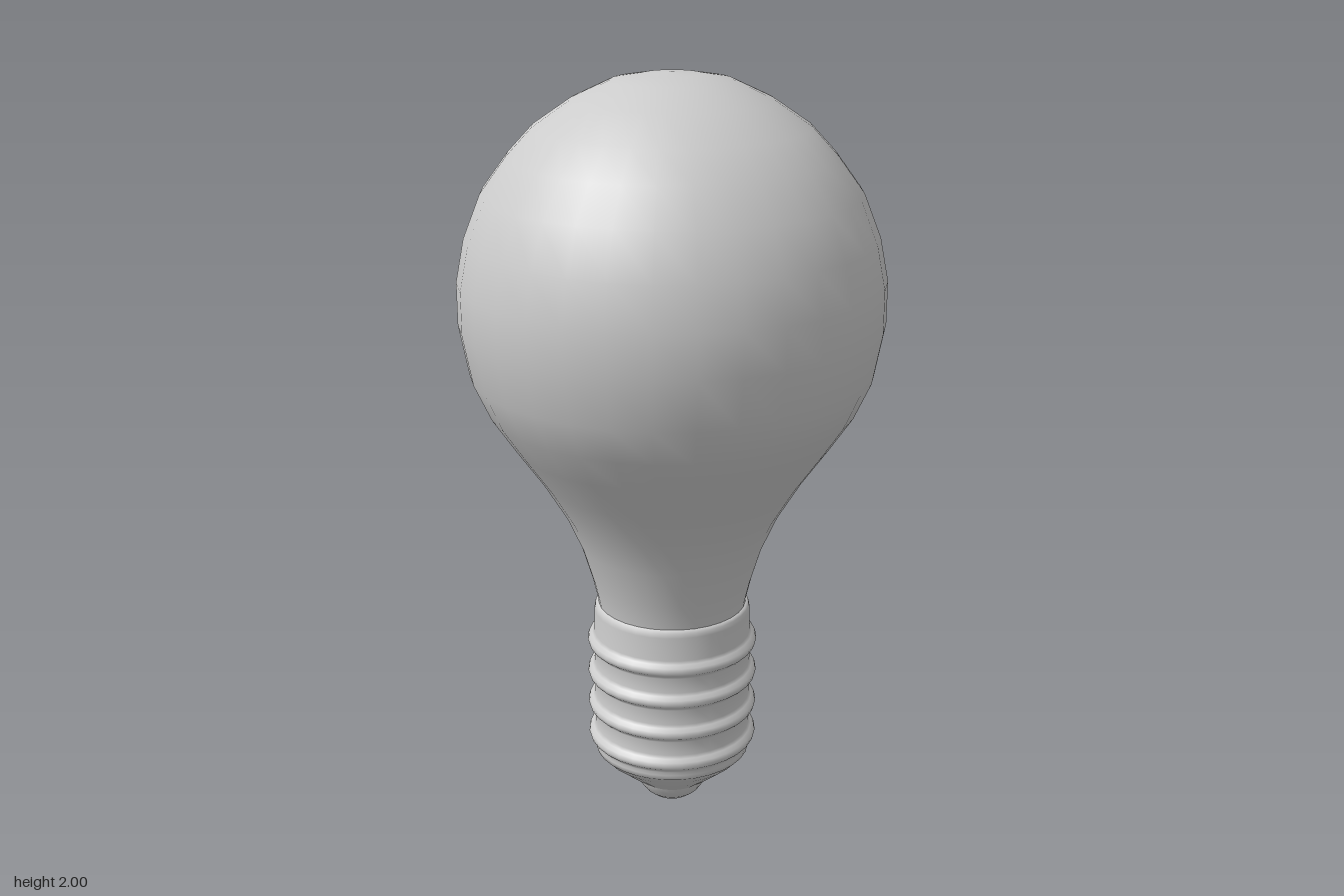
import * as THREE from 'three';

const SEGMENTS = 32;

export function createModel() {
  const model = new THREE.Group();
  model.name = 'lightBulb';
  const material = new THREE.MeshStandardMaterial({ color: 0xcccccc });

  // Every part is a turned profile of [radius, height], listed from bottom to top
  function addTurned(name, profile) {
    const points = profile.map(([r, y]) => new THREE.Vector2(r, y));
    const mesh = new THREE.Mesh(new THREE.LatheGeometry(points, SEGMENTS), material);
    mesh.name = name;
    model.add(mesh);
  }

  // Glass: narrow neck flaring into a round top
  addTurned('glassBulb', [
    [0.196, 0.58], [0.199, 0.61], [0.213, 0.67], [0.243, 0.77], [0.285, 0.865],
    [0.345, 0.965], [0.415, 1.065], [0.475, 1.155], [0.518, 1.25], [0.542, 1.38],
    [0.542, 1.49], [0.52, 1.60], [0.476, 1.71], [0.41, 1.80], [0.345, 1.87],
    [0.25, 1.935], [0.15, 1.982], [0.075, 1.995], [0, 2.0],
  ]);

  // Screw base: straight sleeve with four rounded ridges and a rolled rim
  const sleeve = [[0.197, 0.155], [0.21, 0.163], [0.214, 0.178]];
  for (const y of [0.212, 0.303, 0.397, 0.49]) {
    sleeve.push(
      [0.211, y - 0.026], [0.217, y - 0.018], [0.226, y - 0.01], [0.229, y],
      [0.226, y + 0.01], [0.217, y + 0.018], [0.211, y + 0.026],
    );
  }
  sleeve.push([0.21, 0.58], [0.207, 0.592], [0.202, 0.598], [0.194, 0.6]);
  addTurned('screwBase', sleeve);

  // Insulating cone below the thread
  addTurned('insulatorCone', [
    [0.07, 0.045], [0.1, 0.068], [0.14, 0.1], [0.19, 0.142], [0.208, 0.162],
  ]);

  // Rounded contact at the very bottom
  addTurned('contactTip', [
    [0, 0], [0.03, 0.003], [0.055, 0.013], [0.075, 0.029], [0.09, 0.05], [0.097, 0.068],
  ]);

  return model;
}
